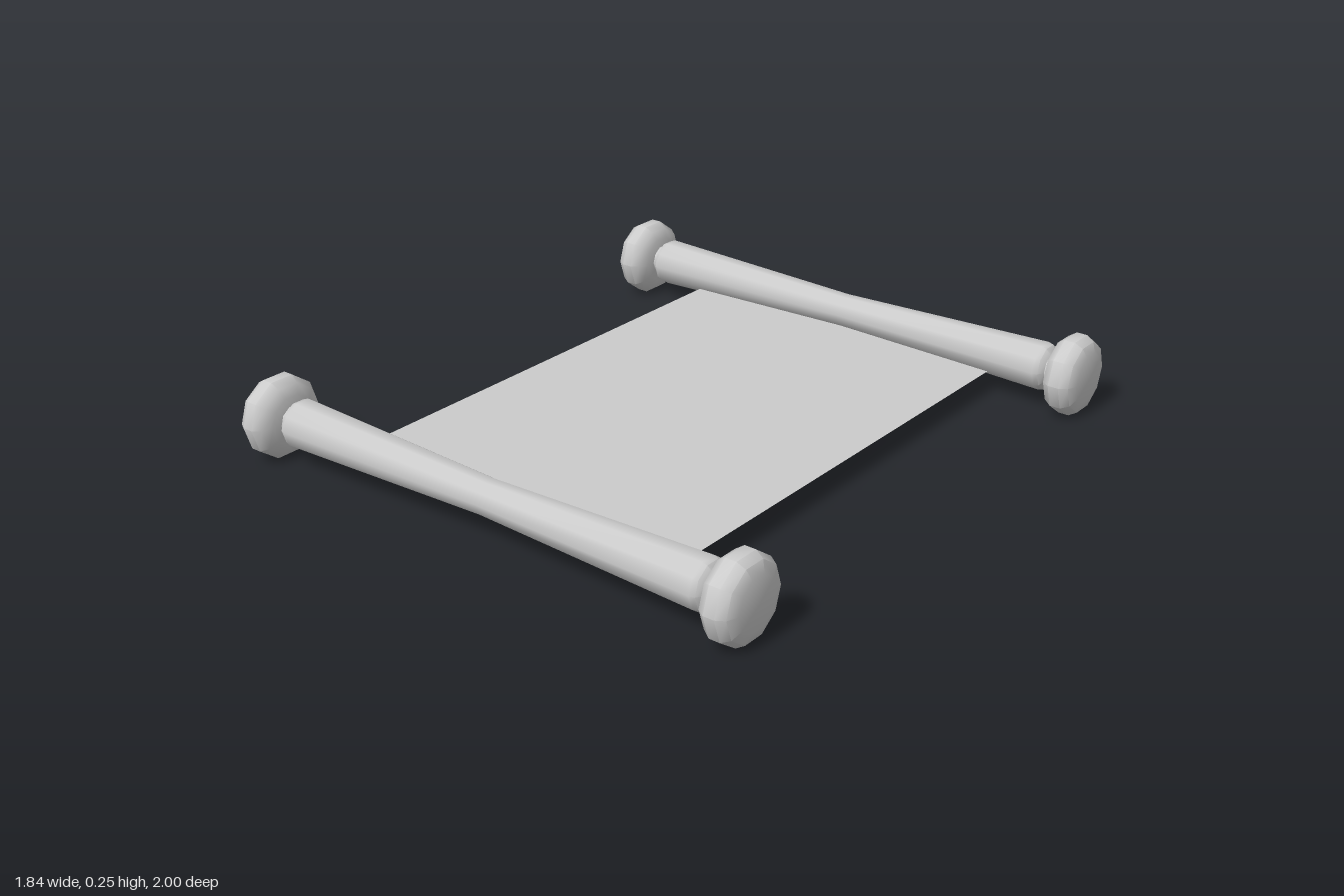
import * as THREE from 'three';
import { toCreasedNormals } from 'three/addons/utils/BufferGeometryUtils.js';

const SIDES = 10;
const ROD_Y = 0.124;
const ROD_Z = 0.87;

// Profile of half a turned part as [x along the rod, radius]
const rodHalf = [[0, 0.056], [0.755, 0.078], [0.772, 0.073], [0.785, 0.053], [0.81, 0.05]];
const knobProfile = [
  [0.795, 0.04], [0.8, 0.08], [0.814, 0.112], [0.84, 0.13], [0.875, 0.13],
  [0.901, 0.114], [0.914, 0.08], [0.918, 0],
];

// Lathe turned so that its axis runs along x
function turned(profile) {
  const points = profile.map(([x, r]) => new THREE.Vector2(r, x));
  const geometry = new THREE.LatheGeometry(points, SIDES);
  geometry.rotateZ(-Math.PI / 2);
  return toCreasedNormals(geometry, 0.75);
}

export function createModel() {
  const model = new THREE.Group();
  model.name = 'scroll';
  const material = new THREE.MeshStandardMaterial({ color: 0xcccccc });
  const sheetMaterial = new THREE.MeshStandardMaterial({ color: 0xcccccc, side: THREE.DoubleSide });

  // Rod waisted in the middle, with a knob at each end
  const mirroredHalf = rodHalf.slice(1).reverse().map(([x, r]) => [-x, r]);
  const rodGeometry = turned([...mirroredHalf, ...rodHalf]);
  const knobGeometry = turned(knobProfile);

  for (const [end, z] of [['front', ROD_Z], ['back', -ROD_Z]]) {
    const roller = new THREE.Group();
    roller.name = end + 'Roller';
    roller.position.set(0, ROD_Y, z);

    const rod = new THREE.Mesh(rodGeometry, material);
    rod.name = end + 'Rod';
    roller.add(rod);

    for (const [side, turn] of [['Left', 0], ['Right', Math.PI]]) {
      const knob = new THREE.Mesh(knobGeometry, material);
      knob.name = end + side + 'Knob';
      knob.rotation.y = turn;
      roller.add(knob);
    }
    model.add(roller);
  }

  // Thin flat sheet stretched between the rods
  const sheetGeometry = new THREE.PlaneGeometry(1.17, 1.7);
  sheetGeometry.rotateX(-Math.PI / 2);
  const sheet = new THREE.Mesh(sheetGeometry, sheetMaterial);
  sheet.name = 'sheet';
  sheet.position.y = 0.076;
  model.add(sheet);

  return model;
}
